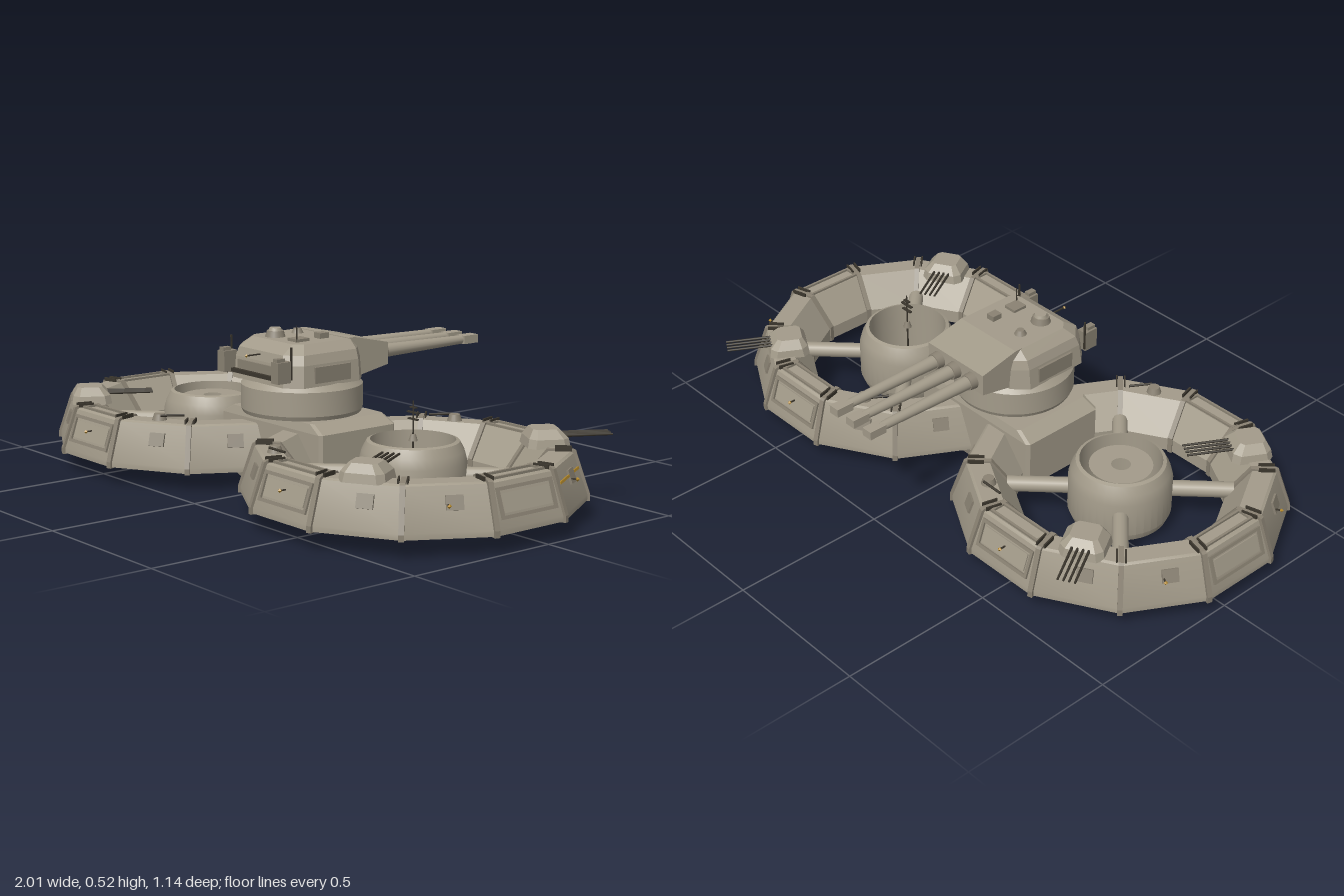
import * as THREE from 'three';
import { toCreasedNormals } from 'three/addons/utils/BufferGeometryUtils.js';
import { ConvexGeometry } from 'three/addons/geometries/ConvexGeometry.js';

const hull = new THREE.MeshStandardMaterial({ color: 0xa39b8a });
hull.name = 'hull grey';
const trim = new THREE.MeshStandardMaterial({ color: 0x8a8273 });
trim.name = 'trim grey';
const dark = new THREE.MeshStandardMaterial({ color: 0x3b362d });
dark.name = 'underside dark';
const brass = new THREE.MeshStandardMaterial({ color: 0xb58a2c });
brass.name = 'brass';

const RAD = Math.PI / 180;
const COS15 = Math.cos(15 * RAD);
const CZ = 0.065; // z of the ring centres

function add(parent, name, geo, mat, x = 0, y = 0, z = 0) {
  const m = new THREE.Mesh(geo, mat);
  m.name = name;
  m.position.set(x, y, z);
  parent.add(m);
  return m;
}

function group(parent, name, x = 0, y = 0, z = 0, yaw = 0) {
  const g = new THREE.Group();
  g.name = name;
  g.position.set(x, y, z);
  g.rotation.y = yaw;
  parent.add(g);
  return g;
}

const box = (w, h, d) => new THREE.BoxGeometry(w, h, d);
const cyl = (r0, r1, h, n = 20) => new THREE.CylinderGeometry(r0, r1, h, n);

function lathe(pts, n, start = 0) {
  const g = new THREE.LatheGeometry(pts.map(p => new THREE.Vector2(...p)), n, start);
  return toCreasedNormals(g, 0.4);
}

// Convex block from stacked rectangles with cut corners: [y, halfWidth, z0, z1, cut]
function block(layers) {
  const pts = [];
  for (const [y, w, z0, z1, c] of layers)
    for (const s of [-1, 1]) {
      pts.push(new THREE.Vector3(s * w, y, z0 + c), new THREE.Vector3(s * w, y, z1 - c));
      if (c) pts.push(new THREE.Vector3(s * (w - c), y, z0), new THREE.Vector3(s * (w - c), y, z1));
    }
  return new ConvexGeometry(pts);
}

// Thin rectangular frame lying in the xy plane
function frame(w, h, t) {
  const rect = (P, a, b) => new P([[-a, -b], [a, -b], [a, b], [-a, b]].map(p => new THREE.Vector2(...p)));
  const s = rect(THREE.Shape, w / 2, h / 2);
  s.holes.push(rect(THREE.Path, w / 2 - t, h / 2 - t));
  return new THREE.ExtrudeGeometry(s, { depth: 0.008, bevelEnabled: false });
}

// Ring section: apothem, height
const SECTION = [[0.497, 0.055], [0.497, 0.072], [0.455, 0.195], [0.447, 0.2], [0.385, 0.2], [0.312, 0.1], [0.312, 0.055]];
const TILT = -19 * RAD;

function strapGeometry() {
  const o = 0.006;
  const grow = [[o, -0.003], [o, 0], [o, o], [o, o], [-o, o], [-o, o], [-o, -0.003]];
  const s = new THREE.Shape(SECTION.map(([a, y], i) => new THREE.Vector2(a / COS15 + grow[i][0], y + grow[i][1])));
  const g = new THREE.ExtrudeGeometry(s, { depth: 0.016, bevelEnabled: false });
  return g.translate(0, 0, -0.008);
}

function gunTurret(parent, phi, flip) {
  const seat = group(parent, 'gunTurret', 0, 0, 0, phi);
  const t = group(seat, 'gunMount', 0, 0, 0.4, flip ? Math.PI : 0);
  add(t, 'gunHousing', block([[0.195, 0.07, -0.065, 0.065, 0.02], [0.222, 0.065, -0.06, 0.06, 0.02], [0.248, 0.042, -0.045, 0.035, 0.012]]), hull);
  for (let i = 0; i < 4; i++)
    add(t, 'gunBarrel', cyl(0.0035, 0.0045, 0.15, 8).rotateX(Math.PI / 2), dark, (i - 1.5) * 0.017, 0.225, 0.125);
}

function buildRing(root, s) {
  const ring = group(root, s > 0 ? 'leftRing' : 'rightRing', s * 0.5, 0, CZ);
  const pts = SECTION.map(([a, y]) => [a / COS15, y]);
  add(ring, 'ringShell', lathe(pts, 12, 15 * RAD), hull);
  add(ring, 'ringUnderside', lathe([pts[6], pts[0]], 12, 15 * RAD), dark);

  const strap = strapGeometry();
  for (let i = 0; i < 12; i++) {
    // Corner strap with small cleats
    const corner = group(ring, 'cornerStrap', 0, 0, 0, (i * 30 + 15 - 90) * RAD);
    add(corner, 'strap', strap, trim);
    for (const d of [-0.013, 0.013]) add(corner, 'cleat', box(0.05, 0.012, 0.005), dark, 0.44, 0.207, d);

    // Panels on each side: long frames on the four main sides, hatches between
    const side = group(ring, 'sidePanel', 0, 0, 0, i * 30 * RAD);
    if (i % 3 === 0) {
      const outer = add(side, 'outerFrame', frame(0.215, 0.09, 0.01), trim, 0, 0.138, 0.473);
      outer.rotation.x = TILT;
      const plate = add(side, 'outerPlate', box(0.18, 0.055, 0.008), hull, 0, 0.138, 0.475);
      plate.rotation.x = TILT;
      const top = add(side, 'topFrame', frame(0.2, 0.055, 0.008), trim, 0, 0.199, 0.416);
      top.rotation.x = -Math.PI / 2;
    } else {
      const hatch = add(side, 'hatch', box(0.05, 0.042, 0.009), trim, 0.02, 0.15, 0.473);
      hatch.rotation.x = TILT;
    }
  }

  // Hub: hollow drum with a floor and knob that face downward
  add(ring, 'hub', lathe([[0, 0.035], [0.028, 0.035], [0.028, 0.06], [0.13, 0.06], [0.13, 0.03], [0.15, 0.03],
    [0.16, 0.055], [0.16, 0.165], [0.152, 0.195], [0.138, 0.222], [0.127, 0.226], [0.127, 0.06]], 40), hull);
  for (let i = 0; i < 4; i++) {
    const arm = group(ring, 'spoke', 0, 0, 0, (45 + 90 * i) * RAD);
    add(arm, 'spokeTube', cyl(0.025, 0.025, 0.2, 16).rotateX(Math.PI / 2), hull, 0, 0.12, 0.245);
  }

  // Four-barrelled guns, one firing outward and one across the ring
  gunTurret(ring, s * 150 * RAD, false);
  gunTurret(ring, s * 30 * RAD, true);

  // Small domes with light guns on the inner segments
  for (const a of [-150, -30]) {
    const g = group(ring, 'lightGun', 0, 0, 0, s * a * RAD);
    add(g, 'dome', cyl(0.017, 0.024, 0.022), trim, 0, 0.209, 0.41);
    const gun = add(g, 'gunTube', cyl(0.004, 0.004, 0.075, 8).rotateZ(Math.PI / 2), dark, 0.045, 0.217, 0.41);
    gun.rotation.y = 0.5;
  }

  // Marker lamps
  for (const a of [0, 180, 60, 120]) {
    const g = group(ring, 'markerLamp', 0, 0, 0, s * a * RAD);
    add(g, 'lamp', new THREE.OctahedronGeometry(0.007), brass, 0, 0.146, 0.497);
    add(g, 'lampStem', box(0.004, 0.004, 0.024), dark, 0, 0.146, 0.485);
  }

  if (s > 0) {
    // Brass stripe and mast
    const g = group(ring, 'stripe', 0, 0, 0, 120 * RAD);
    add(g, 'stripePlate', box(0.21, 0.007, 0.008), brass, 0, 0.155, 0.471).rotation.x = TILT;
    add(ring, 'mast', cyl(0.002, 0.004, 0.3, 8), dark, 0, 0.19, 0);
    add(ring, 'mastFoot', cyl(0.008, 0.014, 0.02, 12), trim, 0, 0.23, 0);
    for (const [y, w] of [[0.285, 0.04], [0.305, 0.05], [0.32, 0.025]]) add(ring, 'mastArm', box(w, 0.004, 0.01), dark, 0, y, 0);
  } else {
    // Floating lid with a centre hole
    add(ring, 'hubLid', new THREE.RingGeometry(0.03, 0.098, 32).rotateX(-Math.PI / 2), hull, 0, 0.205, 0);
  }
}

function buildHull(root) {
  const g = group(root, 'centralHull');
  add(g, 'hullBody', block([[0.01, 0.18, -0.07, 0.2, 0.01], [0.05, 0.25, -0.087, 0.213, 0.01], [0.21, 0.25, -0.087, 0.213, 0.01], [0.237, 0.2, -0.08, 0.206, 0.01]]), hull);
  add(g, 'bellyPlate', box(0.18, 0.012, 0.15), trim, 0, 0.006, CZ);
}

function buildTurret(root) {
  const t = group(root, 'mainTurret');
  add(t, 'turretRing', lathe([[0.16, 0.232], [0.184, 0.237], [0.19, 0.25], [0.19, 0.325], [0.172, 0.345], [0, 0.345]], 48), hull).position.z = 0.085;
  add(t, 'turretBody', block([[0.343, 0.172, -0.05, 0.258, 0.045], [0.41, 0.165, -0.05, 0.252, 0.045], [0.44, 0.155, -0.05, 0.245, 0.045], [0.468, 0.125, -0.03, 0.2, 0.025]]), hull);

  // Sloped gun shield
  add(t, 'gunShield', block([[0.345, 0.125, -0.03, 0, 0], [0.37, 0.125, -0.16, 0, 0], [0.44, 0.125, -0.16, 0, 0], [0.47, 0.125, -0.025, 0, 0]]), hull);
  for (const x of [-0.078, 0, 0.076]) {
    add(t, 'barrelCollar', cyl(0.025, 0.028, 0.03).rotateX(-Math.PI / 2), trim, x, 0.403, -0.17);
    add(t, 'mainBarrel', cyl(0.014, 0.022, 0.37).rotateX(-Math.PI / 2), hull, x, 0.403, -0.34);
    add(t, 'muzzle', box(0.037, 0.027, 0.06), hull, x, 0.403, -0.545);
  }

  // Rear stowage
  for (const s of [-1, 1]) {
    add(t, 'stowageBox', box(0.035, 0.065, 0.05), trim, s * 0.135, 0.395, 0.272);
    add(t, 'stowageLid', box(0.02, 0.012, 0.03), trim, s * 0.135, 0.432, 0.28);
    add(t, 'grabPost', box(0.005, 0.1, 0.005), dark, s * 0.15, 0.42, 0.245);
    add(t, 'sidePlate', box(0.009, 0.05, 0.14), trim, s * 0.169, 0.378, 0.1);
  }
  add(t, 'rearRail', box(0.3, 0.012, 0.014), dark, 0, 0.368, 0.265);
  add(t, 'rearPlate', box(0.2, 0.045, 0.009), trim, 0, 0.38, 0.255);

  // Roof fittings
  add(t, 'cupola', cyl(0.026, 0.032, 0.02, 24), trim, -0.05, 0.477, 0.15);
  add(t, 'cupolaLid', cyl(0.018, 0.022, 0.01, 24), hull, -0.05, 0.491, 0.15);
  add(t, 'roofHatch', box(0.045, 0.01, 0.05), trim, 0.06, 0.472, 0.145);
  add(t, 'sightDome', cyl(0.012, 0.02, 0.016, 16), trim, -0.06, 0.475, 0.055);
  add(t, 'sightBox', box(0.03, 0.018, 0.035), trim, 0.06, 0.476, 0.055);
  add(t, 'whip', cyl(0.0015, 0.0025, 0.055, 6), dark, 0.08, 0.493, 0.168);
  add(t, 'turretLamp', new THREE.OctahedronGeometry(0.006), brass, 0, 0.43, 0.3);
  add(t, 'turretLampStem', box(0.004, 0.004, 0.055), dark, 0, 0.43, 0.272);
}

export function createModel() {
  const root = new THREE.Group();
  root.name = 'twinRingGunPlatform';
  buildHull(root);
  buildTurret(root);
  for (const s of [-1, 1]) buildRing(root, s);
  return root;
}
